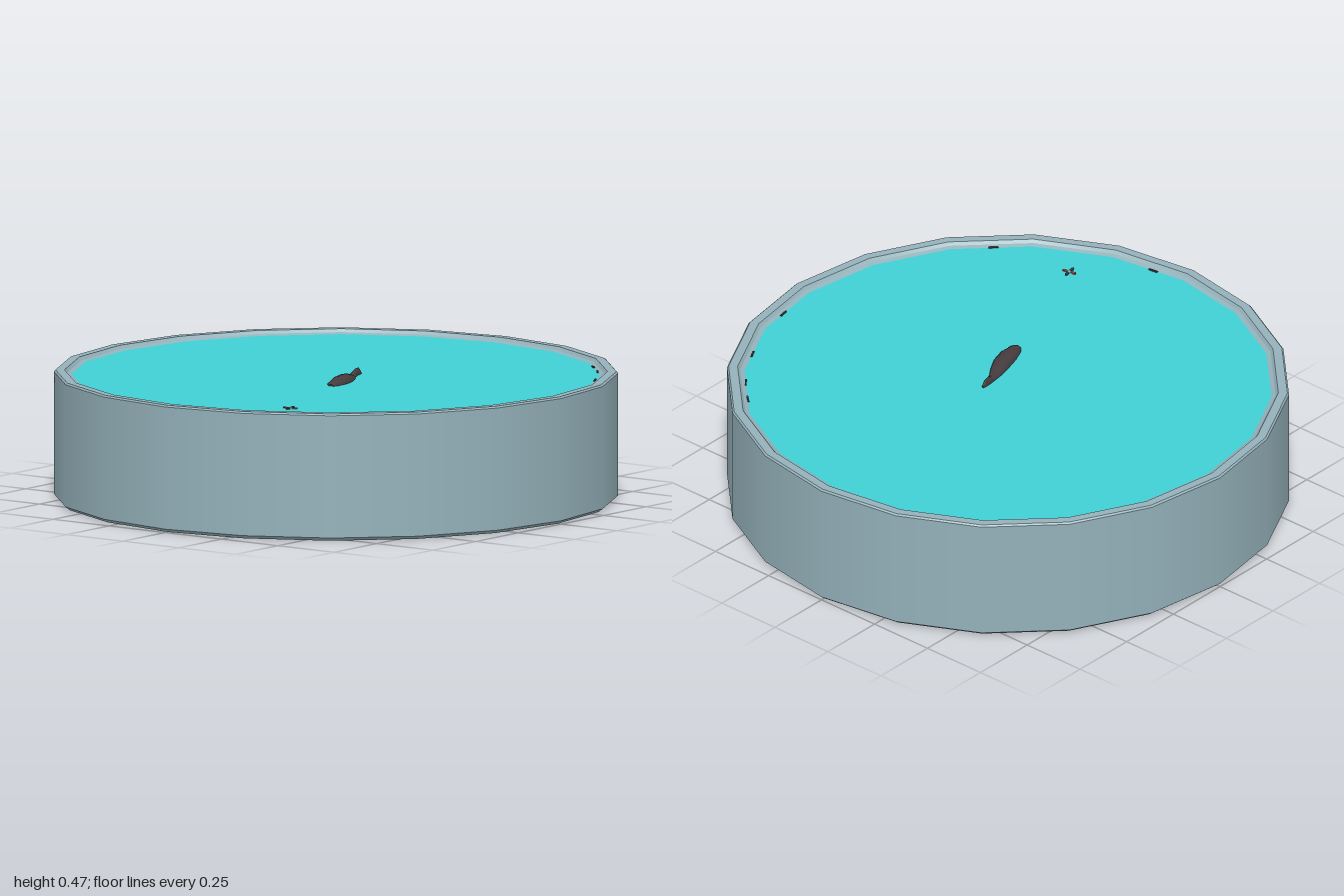
import * as THREE from 'three';

const SIDES = 20;
const WATER_Y = 0.44;

export function createModel() {
  const model = new THREE.Group();
  const mat = (name, color, side = THREE.FrontSide) => {
    const m = new THREE.MeshStandardMaterial({ color, side });
    m.name = name;
    return m;
  };
  const stone = mat('greyBlueStone', 0x94b1ba, THREE.DoubleSide);
  const water = mat('turquoiseWater', 0x40d0d5);
  const dark = mat('charcoal', 0x453c3f);
  const red = mat('brickRed', 0xa84a40);
  const pale = mat('paleGrey', 0xc4c4c4);

  const add = (name, geometry, material, parent = model) => {
    const mesh = new THREE.Mesh(geometry, material);
    mesh.name = name;
    parent.add(mesh);
    return mesh;
  };

  // Basin: twenty-sided tub; doubled profile points keep the edges sharp
  const corners = [
    [0, 0], [0.985, 0], [1, 0.012], [1, 0.45], [0.994, 0.456],
    [0.962, 0.456], [0.953, 0.445], [0.934, WATER_Y - 0.002],
  ];
  const profile = corners.flatMap(([r, y], i) => {
    const p = new THREE.Vector2(r, y);
    return i === 0 || i === corners.length - 1 ? [p] : [p, p.clone()];
  });
  add('basin', new THREE.LatheGeometry(profile, SIDES), stone);

  // Water surface
  const surface = new THREE.CircleGeometry(0.938, SIDES).rotateX(-Math.PI / 2);
  add('waterSurface', surface, water).position.y = WATER_Y;

  // Fish: stations from head to tail as [x, z, half width, half height]
  const stations = [
    [0.138, 0.212, 0.012, 0.006], [0.133, 0.195, 0.025, 0.013],
    [0.12, 0.14, 0.036, 0.024], [0.102, 0.08, 0.036, 0.025],
    [0.082, 0.03, 0.028, 0.016], [0.067, -0.005, 0.018, 0.009],
    [0.056, -0.04, 0.011, 0.024], [0.051, -0.065, 0.008, 0.024],
    [0.049, -0.08, 0.004, 0.008],
  ];
  const last = stations.length - 1;
  const fish = new THREE.CylinderGeometry(1, 1, 1, 10, last).rotateX(Math.PI / 2);
  const pos = fish.attributes.position;
  for (let i = 0; i < pos.count; i++) {
    const [x, z, w, h] = stations[Math.round((0.5 - pos.getZ(i)) * last)];
    pos.setXYZ(i, x + pos.getX(i) * w, WATER_Y + pos.getY(i) * h, z);
  }
  fish.computeVertexNormals();
  add('fish', fish, dark);

  // Small blossom afloat near the front edge
  const blossom = new THREE.Group();
  blossom.name = 'blossom';
  blossom.position.set(0.337, WATER_Y + 0.003, 0.712);
  model.add(blossom);
  const petal = new THREE.CylinderGeometry(0.009, 0.009, 0.004, 5).scale(1.3, 1, 0.7);
  for (let i = 0; i < 4; i++) {
    const a = i * Math.PI / 2 + 0.2;
    const p = add('petal', petal, i % 2 ? dark : red, blossom);
    p.position.set(Math.cos(a) * 0.018, 0, -Math.sin(a) * 0.018);
    p.rotation.y = a;
  }
  add('blossomCentre', new THREE.CylinderGeometry(0.007, 0.007, 0.005, 6), pale, blossom);

  // Dark flecks along the waterline, given as positions on x and z
  const flecks = [[0.62, -0.69], [0.7, -0.61], [0.81, -0.45], [0.91, -0.17], [0.65, 0.66], [0.12, 0.915]];
  const fleck = new THREE.BoxGeometry(0.006, 0.006, 0.035);
  for (const [x, z] of flecks) {
    const f = add('fleck', fleck, dark);
    f.position.set(x, WATER_Y + 0.002, z);
    f.rotation.y = Math.atan2(-z, x);
  }

  return model;
}
